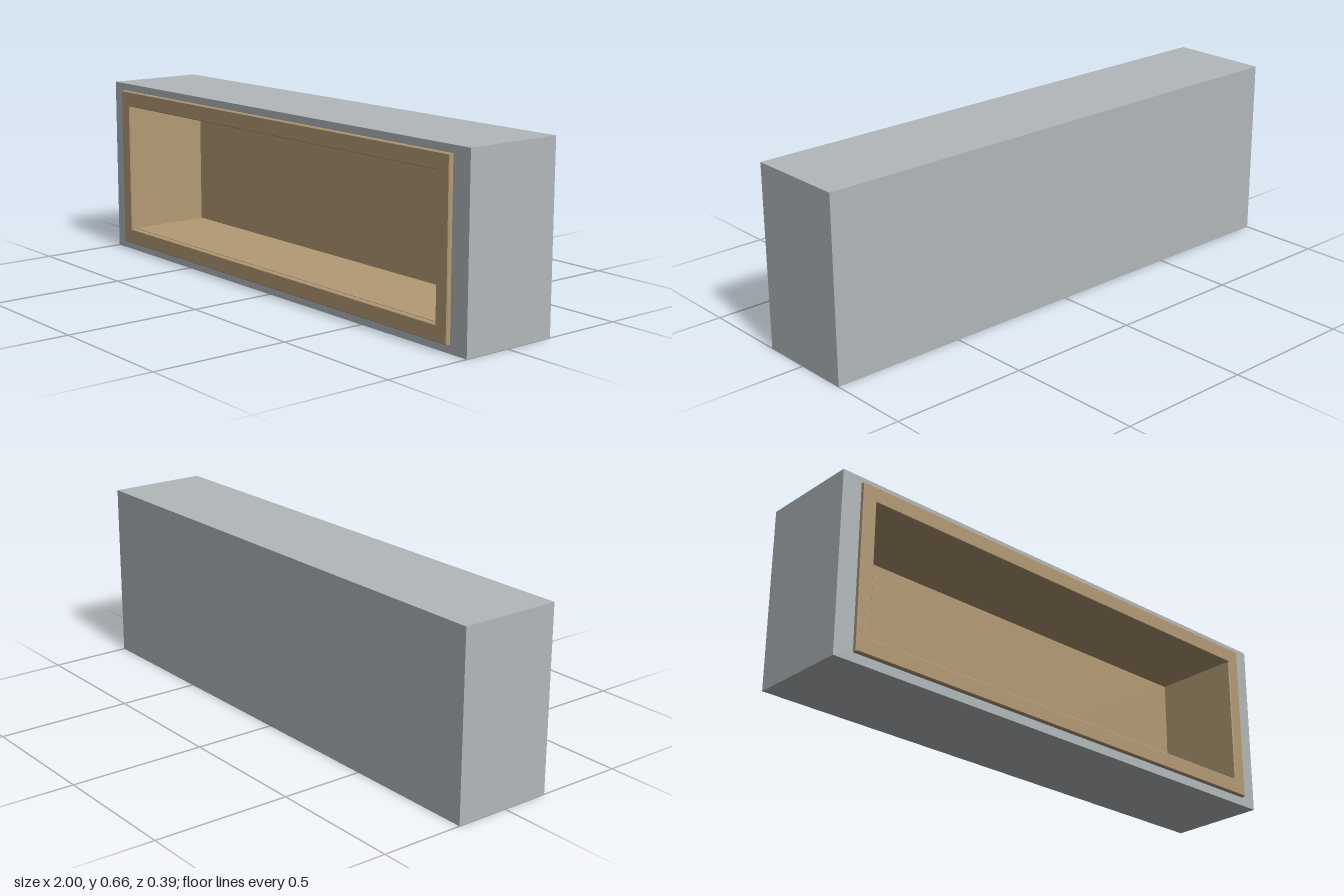
import * as THREE from 'three';

// Sweeps a profile of [halfWidth, halfHeight, z] points round a rectangle, with mitred corners.
function mitredSweep(profile, closed) {
  const signs = [[-1, -1], [1, -1], [1, 1], [-1, 1]];
  const positions = [];
  const point = (corner, p) => [signs[corner % 4][0] * p[0], signs[corner % 4][1] * p[1], p[2]];
  const count = closed ? profile.length : profile.length - 1;
  for (let i = 0; i < 4; i++) {
    for (let j = 0; j < count; j++) {
      const p = profile[j], q = profile[(j + 1) % profile.length];
      const a = point(i, p), b = point(i + 1, p), c = point(i + 1, q), d = point(i, q);
      if (p[0] > 0) positions.push(...a, ...b, ...c);
      if (q[0] > 0) positions.push(...a, ...c, ...d);
    }
  }
  const geometry = new THREE.BufferGeometry();
  geometry.setAttribute('position', new THREE.Float32BufferAttribute(positions, 3));
  geometry.computeVertexNormals();
  return geometry;
}

export function createModel() {
  const group = new THREE.Group();
  group.name = 'wallNiche';

  const wallGrey = new THREE.MeshStandardMaterial({ color: 0xb2b8bb });
  wallGrey.name = 'wallGrey';
  const woodTan = new THREE.MeshStandardMaterial({ color: 0xb39a74 });
  woodTan.name = 'woodTan';

  const add = (name, geometry, material, x, y, z) => {
    const mesh = new THREE.Mesh(geometry, material);
    mesh.name = name;
    mesh.position.set(x, y, z);
    group.add(mesh);
  };

  const back = -0.196, face = 0.177, front = 0.196, nicheBack = -0.14;
  const innerW = 0.875, innerH = 0.245, midY = 0.335;

  // Wall block with a recess in its front
  add('wallBlock', mitredSweep([
    [0, 0, back], [1, 0.331, back], [1, 0.331, face],
    [0.895, 0.265, face], [0.895, 0.265, -0.16], [0, 0, -0.16],
  ], false), wallGrey, 0, 0.331, 0);

  // Boards lining the recess
  add('nicheLining', mitredSweep([
    [0.894, 0.262, nicheBack], [0.894, 0.262, face],
    [innerW, innerH, face], [innerW, innerH, nicheBack],
  ], true), woodTan, 0, midY, 0);

  // Two back panels meeting in the middle
  for (const side of [-1, 1]) {
    add(side < 0 ? 'backPanelRight' : 'backPanelLeft',
      new THREE.BoxGeometry(0.89, 0.52, 0.018), woodTan, side * 0.445, midY, nicheBack - 0.009);
  }

  // Mitred trim with slightly eased edges
  const outerW = 0.928, outerH = 0.3025, e = 0.003;
  add('trimFrame', mitredSweep([
    [outerW - e, outerH - e, face], [outerW, outerH, face + e],
    [outerW, outerH, front - e], [outerW - e, outerH - e, front],
    [innerW + e, innerH + e, front], [innerW, innerH, front - e],
    [innerW, innerH, face],
  ], true), woodTan, 0, 0.3335, 0);

  return group;
}
